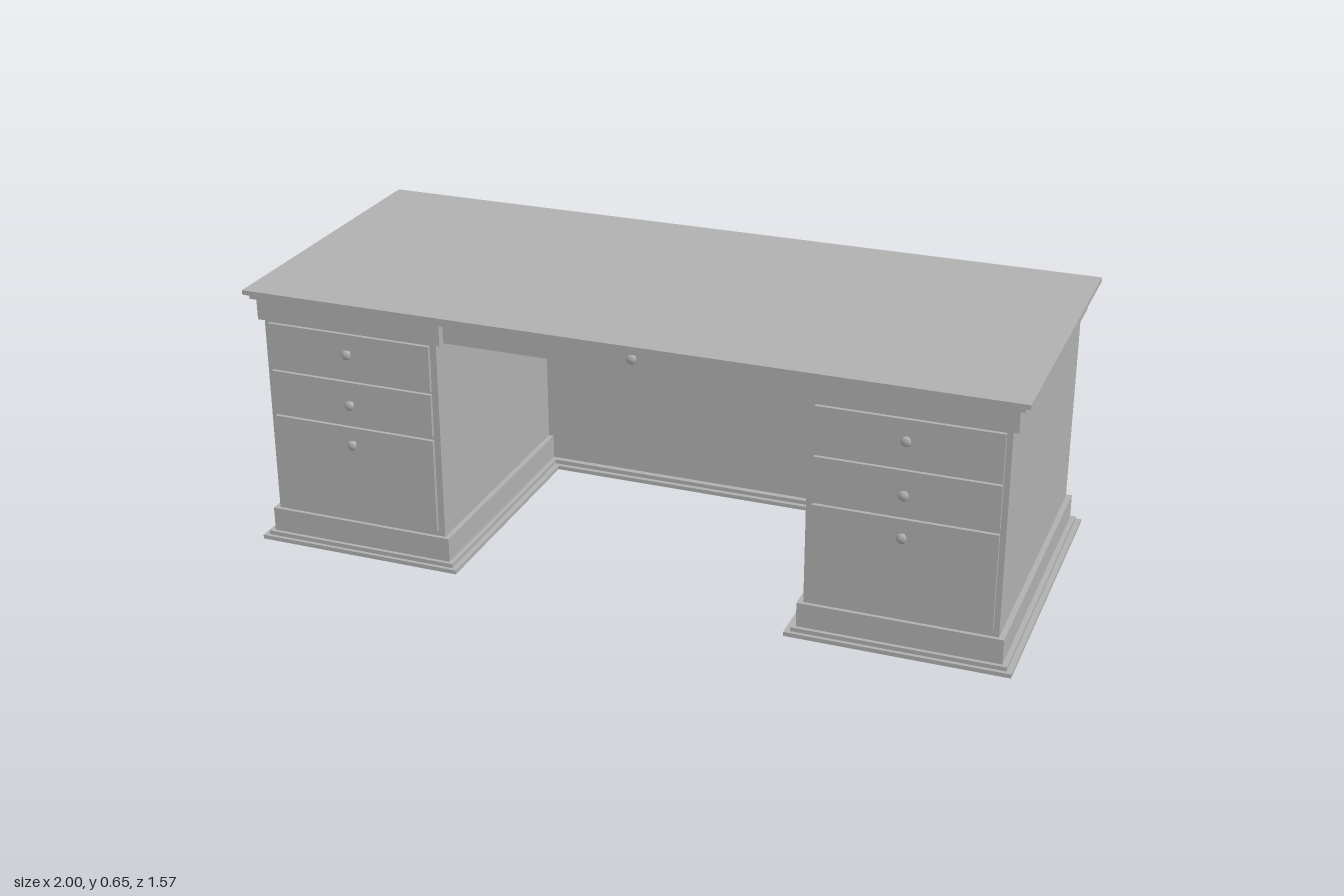
import * as THREE from 'three';

export function createModel() {
  const model = new THREE.Group();
  model.name = 'desk';
  const desk = new THREE.Group();
  desk.name = 'deskBody';
  desk.rotation.y = -28.3 * Math.PI / 180; // the desk stands turned
  model.add(desk);

  const grey = new THREE.MeshStandardMaterial({ color: 0xb0b0b0 });
  grey.name = 'grey';

  function add(parent, name, geometry) {
    const mesh = new THREE.Mesh(geometry, grey);
    mesh.name = name;
    parent.add(mesh);
    return mesh;
  }

  // box given by its limits on each axis
  function block(parent, name, x0, x1, y0, y1, z0, z1) {
    const mesh = add(parent, name, new THREE.BoxGeometry(x1 - x0, y1 - y0, z1 - z0));
    mesh.position.set((x0 + x1) / 2, (y0 + y1) / 2, (z0 + z1) / 2);
    return mesh;
  }

  // round pull turned from a profile, pointing to +z
  const knobProfile = [[0.006, 0], [0.005, 0.006], [0.011, 0.010], [0.012, 0.014], [0.008, 0.018], [0, 0.019]]
    .map(([r, h]) => new THREE.Vector2(r, h));
  const knobGeometry = new THREE.LatheGeometry(knobProfile, 16).rotateX(Math.PI / 2);
  function knob(parent, x, y, z) {
    add(parent, 'knob', knobGeometry).position.set(x, y, z);
  }

  function rectangle(target, x0, x1, y0, y1) {
    target.moveTo(x0, y0);
    target.lineTo(x1, y0);
    target.lineTo(x1, y1);
    target.lineTo(x0, y1);
    target.closePath();
    return target;
  }

  const IN = 0.443, OUT = 0.887, FRONT = 0.366;

  // desk top with its stepped underside
  block(desk, 'top', -0.9245, 0.9245, 0.637, 0.648, -0.393, 0.393);
  block(desk, 'topMoulding', -0.912, 0.912, 0.625, 0.637, -0.374, 0.384);

  // apron: middle part set back in front as a drawer
  block(desk, 'middleApron', -0.43, 0.43, 0.572, 0.625, -0.374, 0.354);
  knob(desk, 0.035, 0.607, 0.354);

  for (const side of [-1, 1]) {
    const pedestal = new THREE.Group();
    pedestal.name = side > 0 ? 'leftPedestal' : 'rightPedestal';
    desk.add(pedestal);
    // block mirrored to this side
    const part = (name, a, b, ...rest) =>
      block(pedestal, name, Math.min(side * a, side * b), Math.max(side * a, side * b), ...rest);

    part('body', IN, OUT, 0.02, 0.60, -0.356, FRONT);
    part('apron', 0.43, 0.90, 0.572, 0.625, -0.374, 0.374);
    part('backMoulding', 0.43, 0.912, 0.625, 0.637, -0.384, -0.37);

    // plinth and stepped foot
    part('plinth', 0.43, 0.90, 0.02, 0.08, -0.375, 0.375);
    part('footStep', 0.419, 0.912, 0.01, 0.02, -0.384, 0.384);
    part('foot', 0.406, 0.9245, 0, 0.01, -0.393, 0.393);

    // frame around the sunken back panel
    const c = side * (IN + OUT) / 2, h = (OUT - IN) / 2, p = h - 0.015;
    const frame = rectangle(new THREE.Shape(), c - h, c + h, 0.07, 0.58);
    frame.holes.push(rectangle(new THREE.Path(), c - p, c + p, 0.098, 0.547));
    const frameGeometry = new THREE.ExtrudeGeometry(frame, { depth: 0.01, bevelEnabled: false });
    add(pedestal, 'backFrame', frameGeometry).position.z = -FRONT;

    // raised lip inside the frame
    const lip = rectangle(new THREE.Shape(), c - p + 0.006, c + p - 0.006, 0.104, 0.541);
    lip.holes.push(rectangle(new THREE.Path(), c - p + 0.013, c + p - 0.013, 0.111, 0.534));
    const lipGeometry = new THREE.ExtrudeGeometry(lip, { depth: 0.005, bevelEnabled: false });
    add(pedestal, 'panelLip', lipGeometry).position.z = -0.361;

    // drawers with knobs
    for (const [y0, y1, knobY] of [[0.452, 0.566, 0.521], [0.34, 0.446, 0.393], [0.094, 0.33, 0.291]]) {
      part('drawer', 0.459, 0.874, y0, y1, FRONT - 0.005, FRONT + 0.009);
      knob(pedestal, c, knobY, FRONT + 0.009);
    }
  }

  // panel closing the knee space, with a low stepped foot
  block(desk, 'kneePanel', -IN, IN, 0.005, 0.58, -0.279, -0.243);
  block(desk, 'kneeFootStep', -0.42, 0.42, 0.01, 0.02, -0.297, -0.228);
  block(desk, 'kneeFoot', -0.407, 0.407, 0, 0.01, -0.306, -0.216);

  return model;
}
